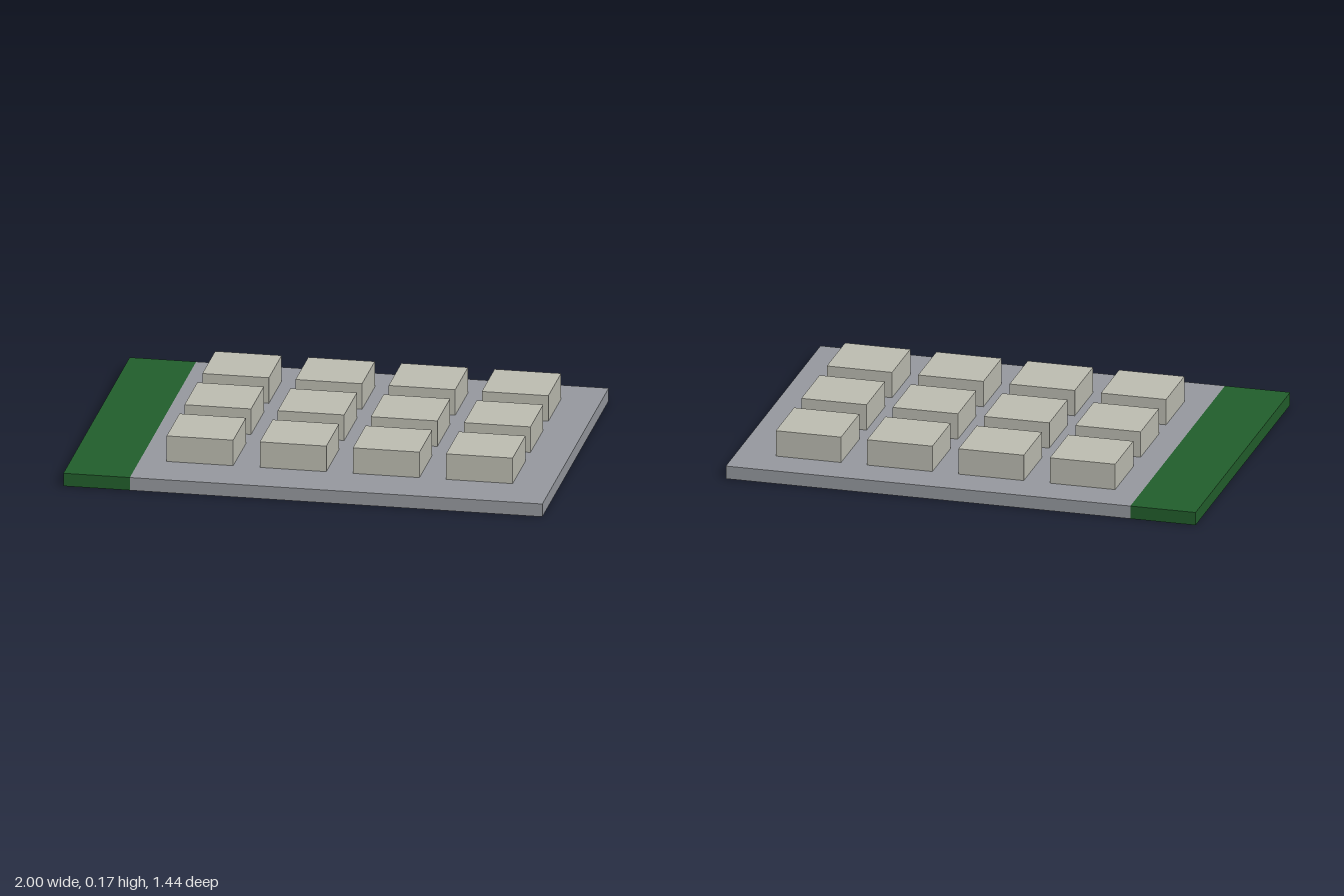
import * as THREE from 'three';

const U = 1 / 18; // grid module

export function createModel() {
  const group = new THREE.Group();
  const mat = (name, color) => {
    const m = new THREE.MeshStandardMaterial({ color });
    m.name = name;
    return m;
  };
  const grey = mat('slate grey', 0x979aa0);
  const green = mat('dark green', 0x225f2c);
  const stone = mat('pale stone', 0xbebeb3);

  // Box given by centre x and z, bottom y and size, all in modules
  const box = (name, material, w, h, d, x, y, z) => {
    const mesh = new THREE.Mesh(new THREE.BoxGeometry(w * U, h * U, d * U), material);
    mesh.name = name;
    mesh.position.set(x * U, (y + h / 2) * U, z * U);
    group.add(mesh);
  };

  // Ground slab: paved area and grass strip side by side
  box('pavedSlab', grey, 31, 1, 26, 2.5, 0, 0);
  box('grassStrip', green, 5, 1, 26, -15.5, 0, 0);

  // Blocks in four columns and three rows
  for (let col = 0; col < 4; col++) {
    for (let row = 0; row < 3; row++) {
      box(`block${row * 4 + col + 1}`, stone, 5, 2, 5, -8.5 + col * 7, 1, -7.5 + row * 7);
    }
  }
  return group;
}
